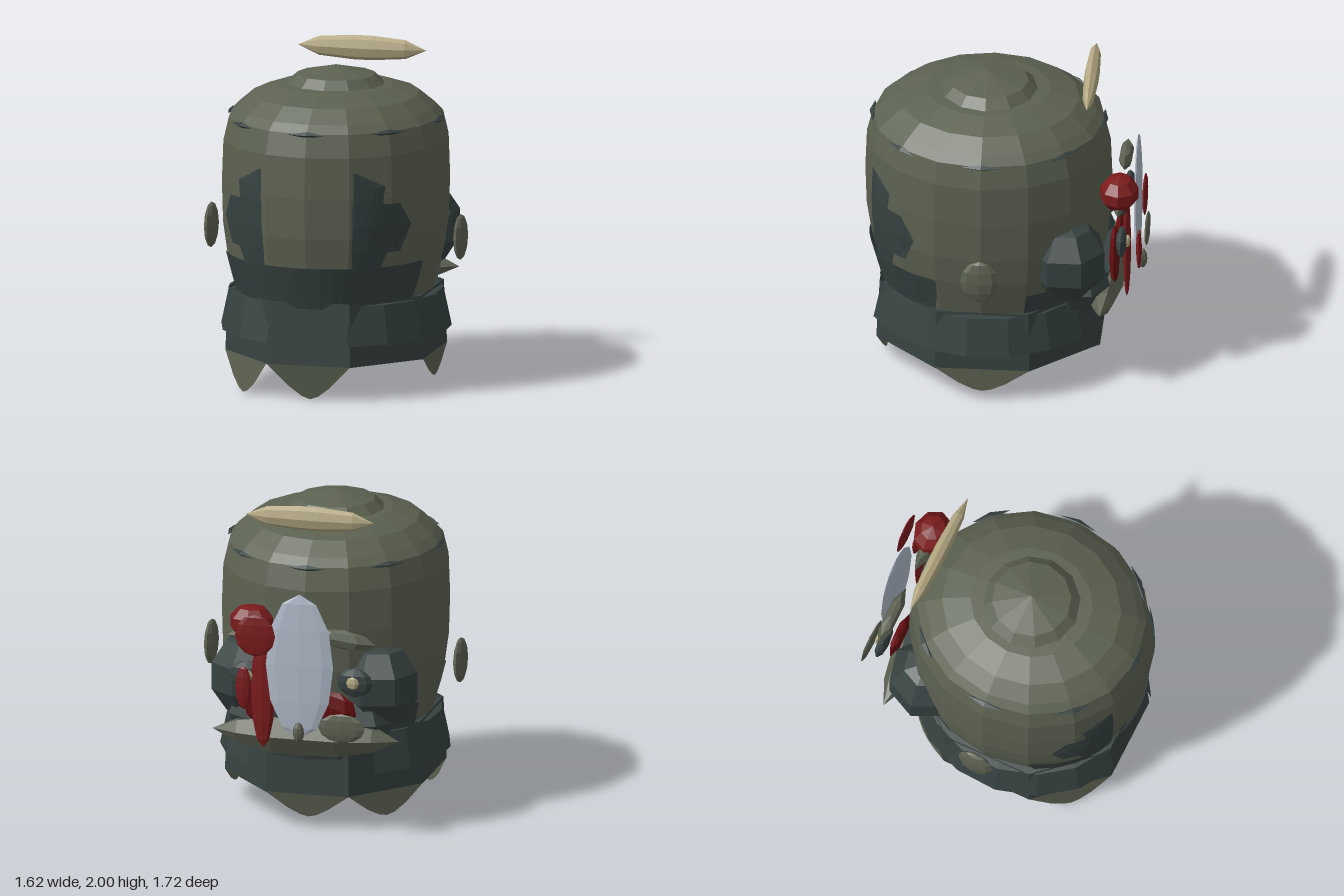
import * as THREE from 'three';

const mat = (name, color) => {
  const m = new THREE.MeshStandardMaterial({ color, side: THREE.DoubleSide, flatShading: true });
  m.name = name;
  return m;
};

export function createModel() {
  const green = mat('moss green', 0x5c6251);
  const dark = mat('dark teal', 0x364241);
  const red = mat('deep red', 0x7a1a1c);
  const darkRed = mat('dark red', 0x660e10);
  const silver = mat('silver', 0xb0bac9);
  const tan = mat('pale tan', 0xb4a882);
  const model = new THREE.Group();
  const CZ = 0.12, ZS = 1.085; // head centre and depth stretch

  const add = (name, geo, material, pos = [0, 0, 0]) => {
    const m = new THREE.Mesh(geo, material);
    m.name = name;
    m.position.set(...pos);
    model.add(m);
    return m;
  };
  const lathe = (points, sides, ...arc) =>
    new THREE.LatheGeometry(points.map(p => new THREE.Vector2(...p)), sides, ...arc);
  // faceted flattened ball
  const lens = (name, material, pos, size, w = 8, h = 6) =>
    add(name, new THREE.SphereGeometry(1, w, h).scale(...size), material, pos);
  // pointed bar lying along x, from half a profile of [radius, x]
  const spindle = (name, material, pos, half, depth, sides) => {
    const pts = [...half.map(([r, x]) => [r, -x]), ...half.slice().reverse()];
    return add(name, lathe(pts, sides).rotateZ(Math.PI / 2).scale(1, 1, depth), material, pos);
  };
  const fromTriangles = (tris) => {
    const g = new THREE.BufferGeometry();
    g.setAttribute('position', new THREE.Float32BufferAttribute(tris.flat(), 3));
    g.computeVertexNormals();
    return g;
  };
  const quad = (out, a, b, c, d) => out.push(a, b, c, a, c, d);

  // Head dome and its raised crown
  const profile = [[0.59, 0.56], [0.655, 0.82], [0.68, 1.0], [0.687, 1.25], [0.678, 1.5],
    [0.645, 1.64], [0.6, 1.69], [0.505, 1.77], [0.345, 1.825], [0, 1.85]];
  add('head', lathe(profile, 16).scale(1, 1, ZS), green, [0, 0, CZ]);
  add('crown', lathe([[0.31, 1.815], [0.24, 1.885], [0, 1.94]], 12), green, [0, 0, CZ]);

  const radiusAt = (y) => {
    const i = profile.findIndex(p => y <= p[1]);
    const [r0, y0] = profile[Math.max(0, i - 1)], [r1, y1] = profile[Math.max(1, i)];
    return r0 + (r1 - r0) * (y - y0) / (y1 - y0);
  };
  // thin marking on the head, from rows of [y, x start, x end]; dir -1 puts it on the back
  const marking = (name, rows, cols = 6, dir = 1, lift = 0.008) => {
    const t = [];
    const p = ([y, x0, x1], k) => {
      const r = radiusAt(y), a = Math.asin((x0 + (x1 - x0) * k / cols) / r);
      return [(r + lift) * Math.sin(a), y, CZ + dir * (r + lift) * ZS * Math.cos(a)];
    };
    for (let i = 1; i < rows.length; i++)
      for (let k = 0; k < cols; k++)
        quad(t, p(rows[i - 1], k), p(rows[i - 1], k + 1), p(rows[i], k + 1), p(rows[i], k));
    add(name, fromTriangles(t), dark);
  };
  const stripe = [[0.8, 0.27, 0.41], [0.93, 0.27, 0.46], [0.91, 0.27, 0.515], [1.07, 0.28, 0.57],
    [1.21, 0.28, 0.52], [1.17, 0.28, 0.48], [1.22, 0.285, 0.44], [1.32, 0.285, 0.45], [1.41, 0.285, 0.3]];
  marking('leftMarking', stripe);
  marking('rightMarking', stripe.map(([y, a, b]) => [y, -b, -a]));
  marking('frontBand', [[0.56, -0.53, 0.53], [0.7, -0.575, 0.575], [0.82, -0.605, 0.605]], 16);
  marking('backBand', [[0.56, -0.545, 0.545], [0.72, -0.58, 0.58]], 16, -1);

  // Slits around the brow of the dome
  for (let i = 0; i < 8; i++) {
    const a = i * Math.PI / 4;
    const s = lens('slit', dark, [0.64 * Math.sin(a), 1.635, CZ + 0.64 * ZS * Math.cos(a)],
      [0.12, 0.02, 0.026], 4, 2);
    s.rotation.y = a;
  }

  // Eight-sided neck, running round from the front towards +x
  const ring = [[0.26, 0.78], [0.615, 0.4], [0.615, -0.17], [0.26, -0.57],
    [-0.26, -0.57], [-0.615, -0.17], [-0.615, 0.4], [-0.26, 0.78]];
  const at = (i, s, y) => {
    const [x, z] = ring[i % 8];
    return [x * s, y, 0.105 + (z - 0.105) * s];
  };
  const neck = [];
  for (let i = 0; i < 8; i++) {
    quad(neck, at(i, 1, 0.215), at(i + 1, 1, 0.215), at(i + 1, 0.97, 0.6), at(i, 0.97, 0.6));
    neck.push([0, 0.23, 0.105], at(i + 1, 1, 0.215), at(i, 1, 0.215));
  }
  add('neck', fromTriangles(neck), dark);

  // Flared collar halves, open at the front and at the back
  for (const [name, start] of [['leftCollar', 0.37], ['rightCollar', 2 * Math.PI - 2.53]])
    add(name, lathe([[0.695, 0.345], [0.645, 0.58], [0.57, 0.59]], 6, start, 2.16).scale(1, 1, 1.045),
      dark, [0, 0, CZ]);

  // Hanging scallops on some sides of the neck: [side, depth, inward lean]
  for (const [side, depth, lean] of [[7, 0.215, 0.07], [6, 0.215, -0.03], [1, 0.15, 0],
    [3, 0.15, 0.05], [4, 0.15, -0.03]]) {
    const a = at(side, 1, 0.217), b = at(side + 1, 1, 0.217);
    const pts = [[0, 0], [0.25, 0.65], [0.4, 0.92], [0.5, 1], [0.6, 0.92], [0.75, 0.65], [1, 0]].map(([t, d]) => {
      const s = 1 - lean * d;
      return [(a[0] + (b[0] - a[0]) * t) * s, a[1] - depth * d,
        0.105 + (a[2] + (b[2] - a[2]) * t - 0.105) * s];
    });
    const t = [];
    for (let k = 1; k < 6; k++) t.push(pts[0], pts[k], pts[k + 1]);
    add('scallop', fromTriangles(t), green);
  }

  // Ears, cheeks, jaws, eyes and brows, mirrored
  for (const s of [-1, 1]) {
    lens('ear', green, [s * 0.775, 0.92, CZ], [0.036, 0.14, 0.115]);
    lens('cheek', dark, [s * 0.4, 0.89, -0.38], [0.25, 0.27, 0.25], 7, 5);
    lens('jaw', dark, [s * 0.3, 0.68, -0.46], [0.22, 0.18, 0.18], 7, 4);
    lens('eye', dark, [s * 0.335, 0.98, -0.705], [0.11, 0.09, 0.035]);
    lens('pupil', tan, [s * 0.33, 0.985, -0.742], [0.04, 0.04, 0.018], 6, 4);
    lens('brow', green, [s * 0.26, 1.24, -0.69], [0.2, 0.06, 0.045], 6, 4).rotation.z = -s * 0.12;
  }
  lens('leftRedCheek', darkRed, [0.28, 0.86, -0.66], [0.1, 0.2, 0.035], 6, 4);
  lens('rightRedCheek', darkRed, [-0.2, 0.8, -0.665], [0.14, 0.1, 0.035], 6, 4).rotation.z = 0.3;

  // Chin and the pointed lip below the face
  add('chin', new THREE.CylinderGeometry(0.4, 0.28, 0.28, 8).scale(1, 1, 0.5), dark, [0, 0.59, -0.48]);
  spindle('lip', green, [0, 0.595, -0.59], [[0, 0.58], [0.08, 0.42], [0.128, 0.2]], 0.9, 6);

  // Face ornaments
  lens('silverDisc', silver, [-0.01, 1.08, -0.78], [0.21, 0.45, 0.022], 8, 6);
  lens('silverDiscStud', green, [-0.01, 0.67, -0.805], [0.035, 0.065, 0.03]);
  lens('greenDisc', green, [-0.28, 0.72, -0.815], [0.145, 0.09, 0.016]);
  lens('redBall', red, [0.31, 1.31, -0.69], [0.14, 0.112, 0.122], 8, 5);
  lens('redBallStem', dark, [0.31, 1.2, -0.7], [0.04, 0.05, 0.04], 6, 4);
  lens('redUpperDisc', red, [0.25, 1.27, -0.842], [0.125, 0.13, 0.016]);
  lens('redBlade', red, [0.23, 0.9, -0.73], [0.075, 0.36, 0.025]);
  lens('redDrop', red, [0.33, 0.93, -0.81], [0.05, 0.135, 0.018]);

  // Floating halo
  spindle('halo', tan, [0, 1.925, -0.5], [[0, 0.4], [0.058, 0.27], [0.075, 0.06]], 0.6, 8);
  return model;
}
